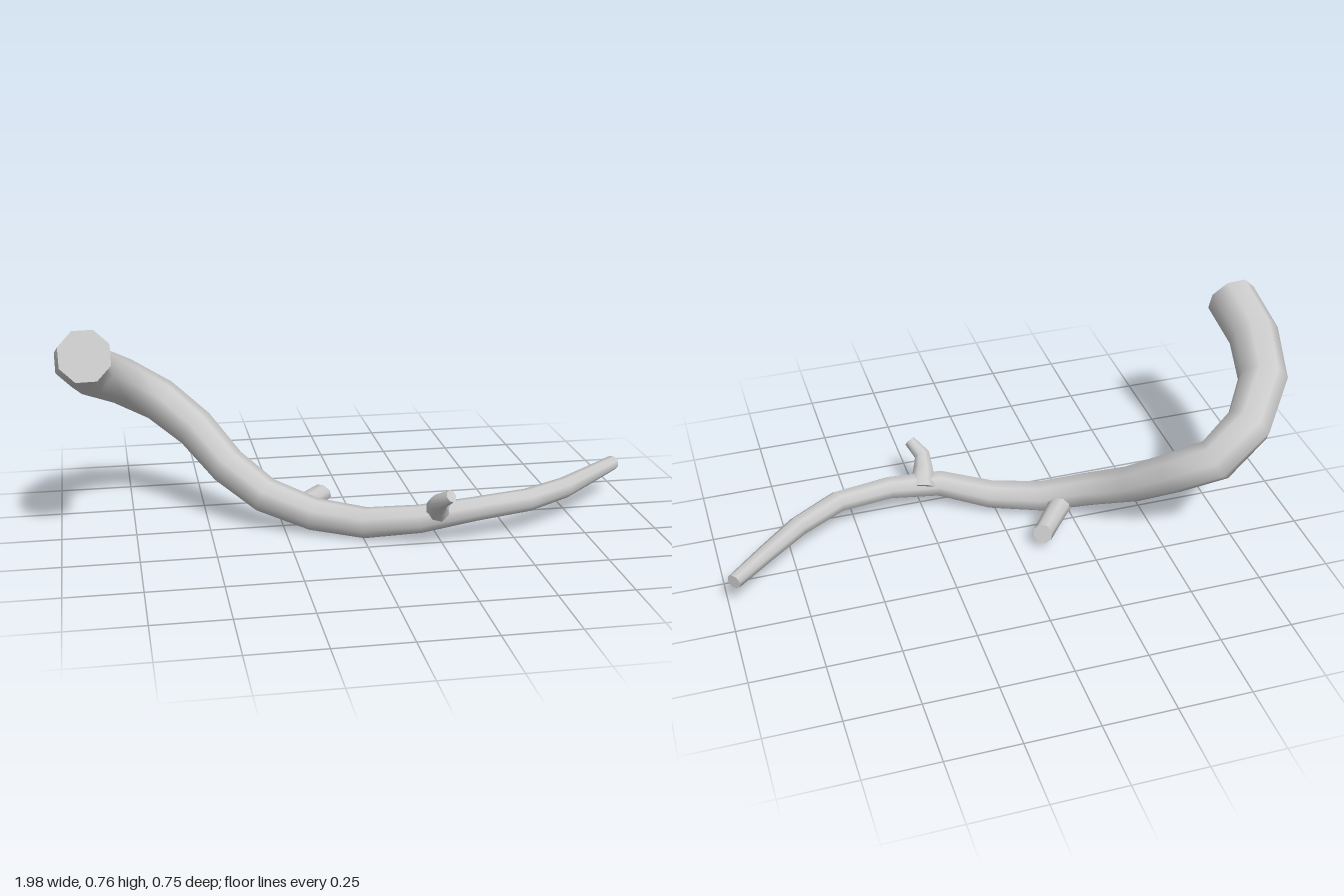
import * as THREE from 'three';

const SIDES = 8;
const material = new THREE.MeshStandardMaterial({ color: 0xcccccc });

// Tapered eight-sided limb through rings [x, y, z, radius], with flat end caps.
// endTilt leans the last ring so a broken stub gets a slanted cut.
function limb(name, rings, endTilt = null) {
  const centres = rings.map(([x, y, z]) => new THREE.Vector3(x, y, z));
  const last = rings.length - 1;
  const direction = (a, b) => centres[b].clone().sub(centres[a]).normalize();
  const pos = [], index = [];
  const side = new THREE.Vector3(0, 1, 0);
  const loops = rings.map(([, , , radius], i) => {
    const before = direction(Math.max(i - 1, 0), Math.max(i, 1));
    const after = direction(Math.min(i, last - 1), Math.min(i + 1, last));
    const tangent = before.add(after).normalize();
    if (i === last && endTilt) tangent.add(endTilt).normalize();
    // carry the frame along the limb so it does not twist
    side.addScaledVector(tangent, -side.dot(tangent)).normalize();
    const other = tangent.clone().cross(side);
    return Array.from({ length: SIDES }, (_, k) => {
      const a = ((k + 0.5) / SIDES) * Math.PI * 2;
      return centres[i].clone()
        .addScaledVector(side, Math.cos(a) * radius)
        .addScaledVector(other, Math.sin(a) * radius);
    });
  });

  // bark skin
  loops.forEach((loop, i) => loop.forEach((p, k) => {
    pos.push(p.x, p.y, p.z);
    if (i === last) return;
    const a = i * SIDES + k, b = i * SIDES + (k + 1) % SIDES;
    index.push(a, b, b + SIDES, a, b + SIDES, a + SIDES);
  }));

  // cut ends, with their own corners so the rims stay sharp
  for (const [loop, flip] of [[loops[0], true], [loops[last], false]]) {
    const start = pos.length / 3;
    loop.forEach((p) => pos.push(p.x, p.y, p.z));
    for (let k = 1; k < SIDES - 1; k++) {
      if (flip) index.push(start, start + k + 1, start + k);
      else index.push(start, start + k, start + k + 1);
    }
  }

  const geometry = new THREE.BufferGeometry();
  geometry.setAttribute('position', new THREE.Float32BufferAttribute(pos, 3));
  geometry.setIndex(index);
  geometry.computeVertexNormals();
  const mesh = new THREE.Mesh(geometry, material);
  mesh.name = name;
  return mesh;
}

export function createModel() {
  const group = new THREE.Group();
  group.name = 'fallenBranch';

  // main stem, from the thick cut end to the thin tip
  group.add(limb('mainStem', [
    [-0.895, 0.688, 0.21, 0.088],
    [-0.91, 0.628, 0.035, 0.087],
    [-0.878, 0.555, -0.125, 0.085],
    [-0.77, 0.475, -0.262, 0.081],
    [-0.64, 0.388, -0.305, 0.076],
    [-0.525, 0.302, -0.225, 0.071],
    [-0.425, 0.195, -0.11, 0.066],
    [-0.31, 0.12, 0, 0.061],
    [-0.155, 0.068, 0.075, 0.056],
    [0.01, 0.055, 0.155, 0.053],
    [0.18, 0.086, 0.232, 0.048],
    [0.365, 0.108, 0.23, 0.041],
    [0.56, 0.115, 0.193, 0.039],
    [0.72, 0.115, 0.095, 0.036],
    [0.85, 0.116, -0.02, 0.031],
    [0.976, 0.116, -0.135, 0.026],
  ]));

  // straight broken stub at the back
  group.add(limb('backStub', [
    [-0.235, 0.072, 0.05, 0.045],
    [-0.18, 0.068, -0.02, 0.038],
    [-0.092, 0.069, -0.135, 0.035],
  ], new THREE.Vector3(0, 0.35, 0)));

  // small crooked twig at the front
  group.add(limb('frontTwig', [
    [0.245, 0.09, 0.215, 0.05],
    [0.229, 0.138, 0.27, 0.037],
    [0.222, 0.168, 0.31, 0.029],
    [0.255, 0.204, 0.356, 0.021],
  ]));

  return group;
}
